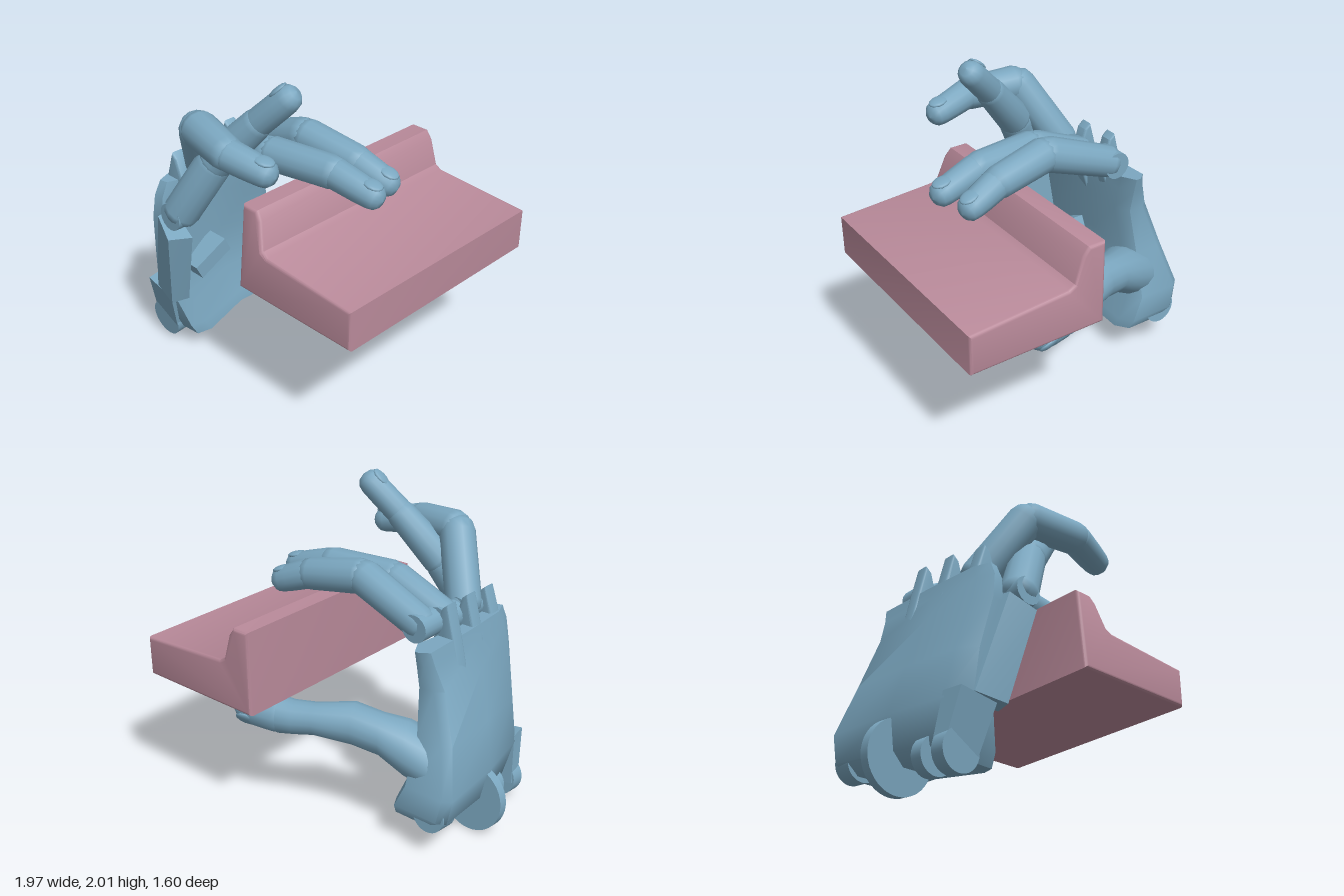
import * as THREE from 'three';
import { toCreasedNormals } from 'three/addons/utils/BufferGeometryUtils.js';

const V = (a) => new THREE.Vector3(...a);
const blue = new THREE.MeshStandardMaterial({ color: 0x7ba7c0 });
const pink = new THREE.MeshStandardMaterial({ color: 0xb98a9a });

function part(geometry, name, parent, material = blue) {
  const mesh = new THREE.Mesh(geometry, material);
  mesh.name = name;
  parent.add(mesh);
  return mesh;
}

// Closed skin over rings of [x, y, z] points, counter-clockwise seen from the last ring's end
function loft(rings, crease = 0.6) {
  const n = rings[0].length, pos = [];
  const centre = (r) => [0, 1, 2].map((k) => r.reduce((s, p) => s + p[k], 0) / n);
  const tri = (...ps) => ps.forEach((p) => pos.push(...p));
  const top = rings[rings.length - 1], c0 = centre(rings[0]), c1 = centre(top);
  for (let i = 0; i < n; i++) {
    const k = (i + 1) % n;
    for (let j = 0; j + 1 < rings.length; j++) {
      const a = rings[j], b = rings[j + 1];
      tri(a[i], a[k], b[k]);
      tri(a[i], b[k], b[i]);
    }
    tri(c0, rings[0][k], rings[0][i]);
    tri(c1, top[i], top[k]);
  }
  const g = new THREE.BufferGeometry();
  g.setAttribute('position', new THREE.Float32BufferAttribute(pos, 3));
  g.computeVertexNormals();
  return toCreasedNormals(g, crease);
}

// Tapered finger bone from a to b; a tip ends rounded exactly at b
function bone(a, b, r0, r1, name, parent, tip = false) {
  const dir = V(b).sub(V(a)), len = dir.length();
  const e = tip ? len - r1 * 0.75 : len;
  const profile = [[0, -0.55 * r0], [0.6 * r0, -0.45 * r0], [0.9 * r0, -0.15 * r0], [r0, 0.2 * r0],
    [r0 * 0.5 + r1 * 0.5, len * 0.5], [r1, e - 0.2 * r1], [0.88 * r1, e + 0.3 * r1],
    [0.55 * r1, e + 0.62 * r1], [0, e + 0.75 * r1]];
  const g = new THREE.LatheGeometry(profile.map((p) => new THREE.Vector2(...p)), 14);
  const m = part(g, name, parent);
  m.position.set(...a);
  m.quaternion.setFromUnitVectors(new THREE.Vector3(0, 1, 0), dir.normalize());
}

// Nail plate lying on the given side of a fingertip
function nail(a, b, side, r, parent) {
  const dir = V(b).sub(V(a)).normalize();
  const up = V(side).addScaledVector(dir, -V(side).dot(dir)).normalize();
  const m = part(new THREE.SphereGeometry(1, 12, 8), 'nail', parent);
  m.scale.set(r * 0.65, r * 0.22, r * 0.8);
  m.position.copy(V(b)).addScaledVector(dir, -r * 1.1).addScaledVector(up, r * 0.86);
  m.quaternion.setFromRotationMatrix(new THREE.Matrix4().makeBasis(up.clone().cross(dir), up, dir));
}

function finger(name, joints, radii, parent) {
  const g = new THREE.Group();
  g.name = name;
  bone(joints[0], joints[1], radii[0], radii[1], 'proximalBone', g);
  bone(joints[1], joints[2], radii[1], radii[2], 'middleBone', g);
  bone(joints[2], joints[3], radii[2] * 0.93, radii[3], 'tipBone', g, true);
  nail(joints[2], joints[3], [0, 1, 0], radii[3], g);
  // Hinge pin at the knuckle
  const pin = part(new THREE.CylinderGeometry(0.085, 0.085, 0.16, 16), 'knuckleHinge', g);
  pin.position.set(...joints[0]);
  pin.rotation.x = Math.PI / 2;
  parent.add(g);
}

// Side-profile plate given in x, y and extruded along z
function plate(points, z0, z1, bevel, name, parent, material = blue) {
  const shape = new THREE.Shape(points.map((p) => new THREE.Vector2(...p)));
  const g = new THREE.ExtrudeGeometry(shape, { depth: z1 - z0 - 2 * bevel, bevelEnabled: true,
    bevelSize: bevel, bevelThickness: bevel, bevelSegments: 3 });
  g.translate(0, 0, z0 + bevel);
  return part(toCreasedNormals(g, 0.6), name, parent, material);
}

export function createModel() {
  const root = new THREE.Group();
  const hand = new THREE.Group();
  hand.name = 'hand';
  root.add(hand);

  // Held block: a slab with a raised ridge along one edge, the ridge leaning in at its front end
  const block = plate([[0.14, 0.85], [0.96, 0.85], [0.96, 1.06], [0.35, 1.1], [0.3, 1.13], [0.25, 1.29],
    [0.22, 1.33], [0.14, 1.33]], -0.8, 0.69, 0.02, 'heldBlock', root, pink);
  const p = block.geometry.attributes.position;
  for (let i = 0; i < p.count; i++) {
    if (p.getZ(i) > 0.5 && p.getY(i) > 1.13) p.setZ(i, p.getZ(i) - (p.getY(i) - 1.11) * 0.2);
  }
  block.geometry = toCreasedNormals(block.geometry, 0.6);

  // Palm: [y, back x, front x, z min, z max, slope of the section]
  const palm = [
    [0.16, -0.8, -0.47, -0.27, 0.56, 0.1],
    [0.23, -0.88, -0.48, -0.3, 0.6, 0.08],
    [0.42, -0.91, -0.55, -0.29, 0.66, 0],
    [0.7, -0.83, -0.56, -0.2, 0.68, 0],
    [1.0, -0.73, -0.53, -0.15, 0.72, 0],
    [1.15, -0.68, -0.53, -0.18, 0.71, 0],
    [1.24, -0.66, -0.53, -0.2, 0.67, 0],
  ].map(([y, b, f, z0, z1, slope]) => {
    const t = f - b, m = (z0 + z1) / 2;
    return [[b, z0 + 0.04], [b + 0.1 * t, m], [b + 0.3 * t, z1 - 0.1], [b + 0.6 * t, z1], [f, z1 - 0.01],
      [f + 0.03, z1 - 0.1], [f - 0.04, m], [f, z0 + 0.09], [f - 0.05, z0], [b + 0.05, z0]]
      .map(([x, z]) => [x, y - slope * (z - m), z]);
  });
  part(loft(palm, 0.9), 'palm', hand);

  // Outer guard on the little-finger side
  part(loft([
    [[-0.72, 0.45, 0.55], [-0.69, 0.45, 0.67], [-0.5, 0.42, 0.71], [-0.47, 0.42, 0.6]],
    [[-0.55, 1.05, 0.62], [-0.52, 1.05, 0.75], [-0.37, 0.97, 0.8], [-0.32, 0.95, 0.66]],
  ]), 'outerGuard', hand);

  // Bracket across the palm
  const bracket = part(new THREE.BoxGeometry(0.14, 0.1, 0.26), 'palmBracket', hand);
  bracket.position.set(-0.5, 0.65, 0.42);
  bracket.rotation.x = 0.45;

  // Pointed prongs between the knuckles
  [[0.1, 0, 0], [0.32, 0.02, -0.01], [0.55, 0.05, -0.04]].forEach(([z, dx, dy]) => {
    plate([[-0.7 + dx, 1.0], [-0.6 + dx, 1.0], [-0.53 + dx, 1.22], [-0.58 + dx, 1.4 + dy],
      [-0.6 + dx, 1.42 + dy], [-0.64 + dx, 1.25]], z - 0.045, z + 0.045, 0.015, 'knuckleProng', hand);
  });

  // Wrist wheel and rounded lugs, tipped slightly sideways
  [[-0.78, 0.21, 0.21, 0.16, 0.06, 'wristWheel'], [-0.72, 0.15, 0.12, 0.56, 0.09, 'wristLug'],
    [-0.72, 0.17, 0.11, 0.38, 0.08, 'wristLug'], [-0.76, 0.28, 0.11, -0.22, 0.12, 'wristLug']]
    .forEach(([x, y, r, z, w, name]) => {
      const m = part(new THREE.CylinderGeometry(r, r, w, 40), name, hand);
      m.rotation.x = Math.PI / 2 + 0.1;
      m.position.set(x, y, z);
    });
  // Arm running up from the outer lug
  part(loft([
    [[-0.83, 0.15, 0.5], [-0.82, 0.15, 0.59], [-0.61, 0.12, 0.6], [-0.61, 0.12, 0.5]],
    [[-0.8, 0.46, 0.55], [-0.78, 0.46, 0.67], [-0.55, 0.42, 0.68], [-0.55, 0.42, 0.55]],
  ]), 'wristArm', hand);

  // Four fingers: knuckle, two joints and tip
  finger('indexFinger', [[-0.5, 1.32, -0.03], [-0.04, 1.49, 0.0], [0.33, 1.43, -0.05], [0.59, 1.33, -0.1]],
    [0.1, 0.108, 0.1, 0.08], hand);
  finger('middleFinger', [[-0.48, 1.28, 0.22], [-0.1, 1.43, 0.22], [0.34, 1.44, 0.15], [0.66, 1.36, 0.1]],
    [0.1, 0.105, 0.1, 0.08], hand);
  finger('ringFinger', [[-0.47, 1.28, 0.42], [-0.26, 1.67, 0.62], [0.07, 1.65, 0.69], [0.37, 1.59, 0.62]],
    [0.11, 0.11, 0.1, 0.08], hand);
  finger('littleFinger', [[-0.39, 1.1, 0.68], [-0.2, 1.46, 0.56], [0.05, 1.75, 0.45], [0.26, 1.97, 0.36]],
    [0.11, 0.108, 0.09, 0.08], hand);

  // Thumb: swelling base, smooth shaft and separate tip
  const thumb = new THREE.Group();
  thumb.name = 'thumb';
  hand.add(thumb);
  const path = [[-0.66, 0.52, -0.1, 0.17], [-0.52, 0.59, -0.16, 0.17], [-0.38, 0.66, -0.23, 0.13],
    [-0.22, 0.7, -0.29, 0.13], [-0.02, 0.71, -0.41, 0.1], [0.1, 0.7, -0.46, 0.105], [0.19, 0.7, -0.49, 0.115]];
  const rings = path.map(([x, y, z, r]) => Array.from({ length: 16 }, (_, i) => {
    const a = (i / 16) * Math.PI * 2;
    return [x + r * 0.4 * Math.cos(a), y - r * Math.sin(a), z + r * 0.9 * Math.cos(a)];
  }));
  part(loft(rings, 0.9), 'thumbShaft', thumb);
  const joint = [0.19, 0.7, -0.48], end = [0.47, 0.72, -0.58];
  bone(joint, end, 0.12, 0.105, 'thumbTip', thumb, true);
  nail(joint, end, [0, -0.6, -0.8], 0.1, thumb);

  return root;
}
